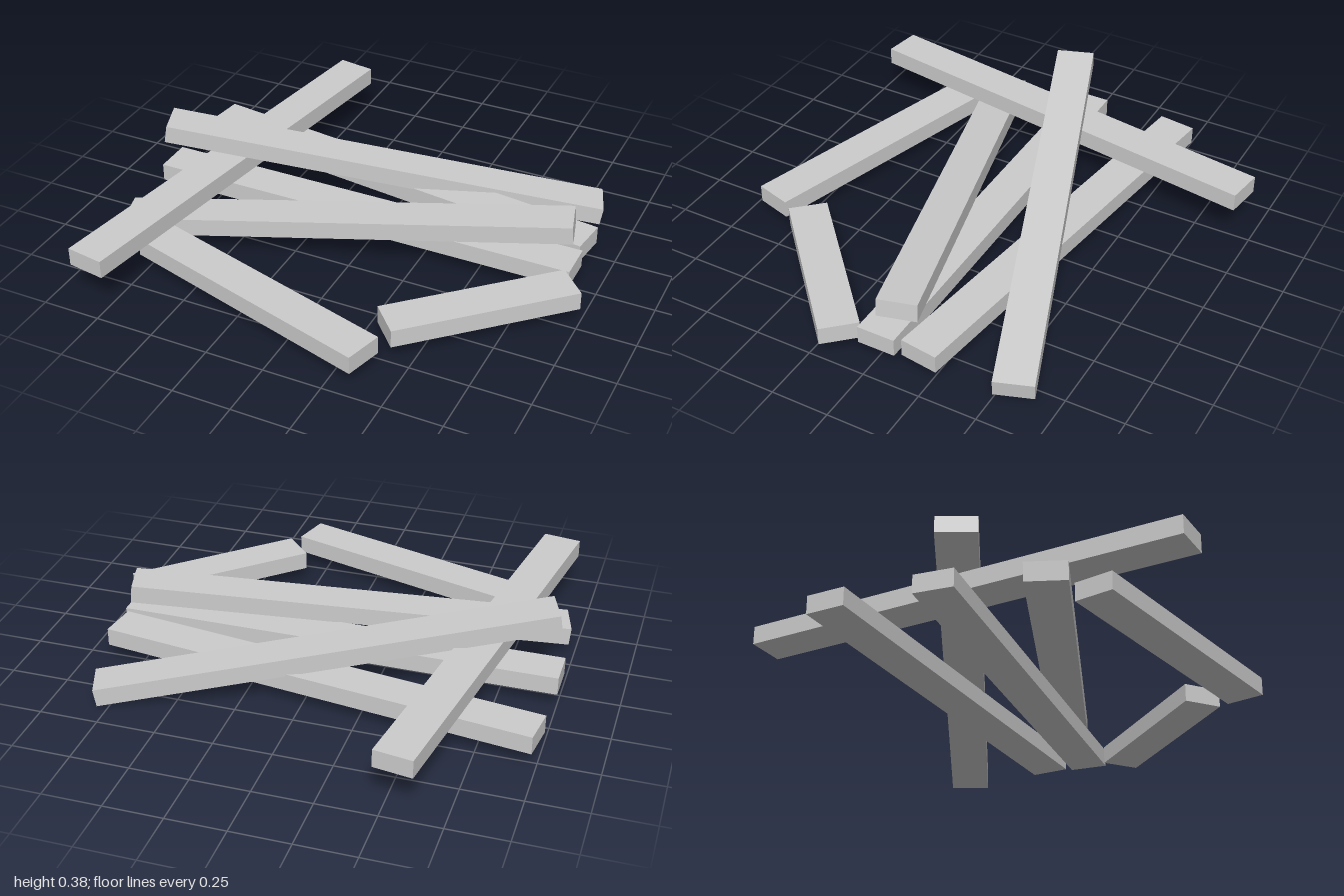
import * as THREE from 'three';

const WIDTH = 0.166, THICK = 0.078;

// Plank running between the centres of its two end faces, top kept level across its width
function plank(name, start, end, material) {
  const a = new THREE.Vector3(...start), b = new THREE.Vector3(...end);
  const along = b.clone().sub(a);
  const mesh = new THREE.Mesh(new THREE.BoxGeometry(along.length(), THICK, WIDTH), material);
  along.normalize();
  const across = along.clone().cross(new THREE.Vector3(0, 1, 0)).normalize();
  const up = across.clone().cross(along);
  mesh.quaternion.setFromRotationMatrix(new THREE.Matrix4().makeBasis(along, up, across));
  mesh.position.copy(a).add(b).multiplyScalar(0.5);
  mesh.name = name;
  return mesh;
}

export function createModel() {
  const group = new THREE.Group();
  group.name = 'plankPile';
  const material = new THREE.MeshStandardMaterial({ color: 0xcccccc, flatShading: true });

  const planks = [
    // flat planks of the lower layer
    ['middlePlank', [-1, 0.098, -0.002], [0.905, 0.098, -0.002]],
    ['backPlank', [-0.99, 0.098, -0.445], [0.897, 0.098, -0.19]],
    ['frontPlank', [-0.762, 0.098, 0.54], [0.363, 0.098, 0.863]],
    ['shortPlank', [0.363, 0.105, 0.68], [0.941, 0.105, 0.142]],
    // plank lying across the others
    ['crossPlank', [-0.828, 0.207, 0.936], [-0.536, 0.207, -0.945]],
    // leaning planks
    ['leaningTopPlank', [-0.957, 0.347, 0.068], [0.832, 0.04, -0.57]],
    ['leaningFrontPlank', [-0.956, 0.084, 0.42], [0.863, 0.256, -0.078]],
  ];
  for (const [name, start, end] of planks) group.add(plank(name, start, end, material));
  return group;
}
